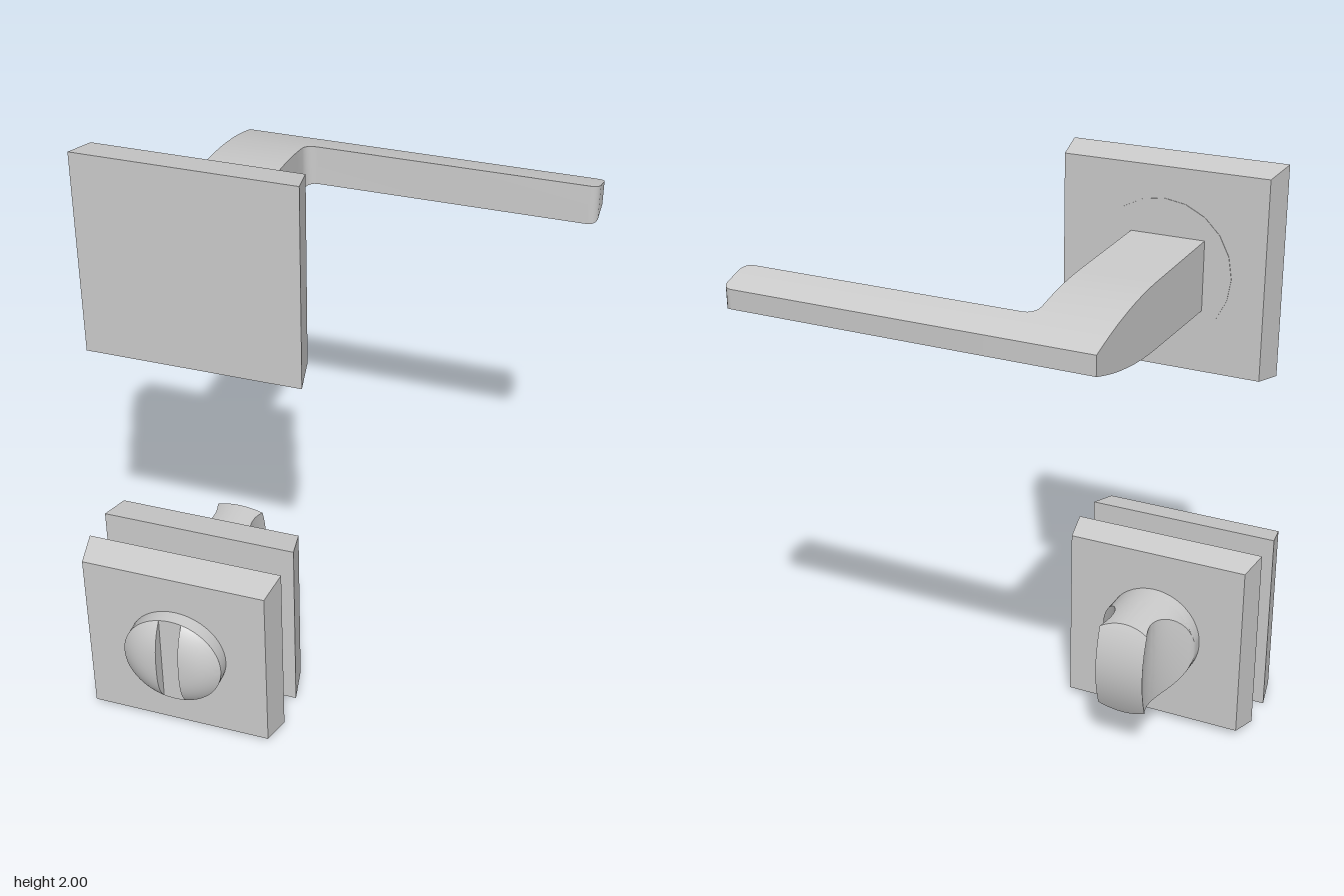
import * as THREE from 'three';
import { toCreasedNormals } from 'three/addons/utils/BufferGeometryUtils.js';

const material = new THREE.MeshStandardMaterial({ color: 0xcccccc });

function part(name, geometry, x = 0, y = 0, z = 0) {
  const mesh = new THREE.Mesh(geometry, material);
  mesh.name = name;
  mesh.position.set(x, y, z);
  return mesh;
}

// Skin a list of cross-sections; a closed one gets an end cap that joins mirrored points
function loft(rows, closed) {
  const n = rows[0].length, index = [];
  const cols = closed ? n : n - 1;
  for (let i = 0; i < rows.length - 1; i++) {
    for (let j = 0; j < cols; j++) {
      const a = i * n + j, b = i * n + (j + 1) % n;
      index.push(a, b, b + n, a, b + n, a + n);
    }
  }
  if (closed) {
    const s = (rows.length - 1) * n;
    for (let k = 0; k < n / 2 - 1; k++) {
      index.push(s + k, s + k + 1, s + n - 2 - k, s + k, s + n - 2 - k, s + n - 1 - k);
    }
  }
  const g = new THREE.BufferGeometry();
  g.setAttribute('position', new THREE.Float32BufferAttribute(rows.flat(2), 3));
  g.setIndex(index);
  return toCreasedNormals(g, 0.5);
}

// Square plate with bevelled sides, wide at zWide and narrower at zNarrow
function plate(name, x, y, w, h, zWide, zNarrow) {
  const inset = 0.04;
  const g = new THREE.BoxGeometry(w, h, Math.abs(zNarrow - zWide));
  const p = g.attributes.position;
  for (let i = 0; i < p.count; i++) {
    if (p.getZ(i) * (zNarrow - zWide) > 0) {
      p.setX(i, p.getX(i) * (1 - inset / w));
      p.setY(i, p.getY(i) * (1 - inset / h));
    }
  }
  g.computeVertexNormals();
  return part(name, g, x, y, (zWide + zNarrow) / 2);
}

function disc(name, r, x, y, z0, z1, sides) {
  const g = new THREE.CylinderGeometry(r, r, z1 - z0, sides).rotateX(Math.PI / 2);
  return part(name, g, x, y, (z0 + z1) / 2);
}

// L-shaped lever: box sections along z, thinning towards the back
function leverGeometry() {
  const stations = [];
  for (let z = 0.2; z > -0.44; z -= 0.05) stations.push([z, -0.26]);
  const arc = (cx, cz, r, from, to) => {
    for (let i = 0; i <= 5; i++) {
      const a = THREE.MathUtils.lerp(from, to, i / 5);
      stations.push([cz + r * Math.sin(a), cx + r * Math.cos(a)]);
    }
  };
  arc(-0.22, -0.46, 0.04, Math.PI, Math.PI * 1.5); // inner fillet
  arc(0.69, -0.53, 0.03, Math.PI / 2, 0);          // tip corners
  stations.push([-0.565, 0.72]);
  arc(0.69, -0.598, 0.03, 0, -Math.PI / 2);
  return loft(stations.map(([z, x]) => {
    const h = 0.114 - 0.02 * (0.18 - z) - 0.36 * Math.max(0, -0.2 - z) ** 2;
    return [[-0.505, h, z], [x, h, z], [x, -h, z], [-0.505, -h, z]];
  }), true);
}

// Round knob with a hollowed grip on both sides and a bowed end
function turnKnobGeometry(r) {
  const z0 = 0.2, z1 = -0.11, rows = [];
  for (let i = 0; i <= 32; i++) {
    const z = THREE.MathUtils.lerp(z0, z1, i / 32);
    const s = Math.max(0, 0.145 - z);
    const a = Math.acos(Math.min(1, (0.07 + 0.1 * ((s - 0.185) / 0.185) ** 2) / r));
    const half = [];
    for (let k = 0; k <= 12; k++) {
      const t = THREE.MathUtils.lerp(Math.PI / 2, a, k / 12);
      half.push([r * Math.cos(t), r * Math.sin(t)]);
    }
    for (let k = 1; k < 16; k++) half.push([r * Math.cos(a), r * Math.sin(a) * (1 - k / 8)]);
    for (let k = 12; k >= 0; k--) half.push([half[k][0], -half[k][1]]);
    const ring = [...half, ...half.slice().reverse().map(([x, y]) => [-x, y])];
    rows.push(ring.map(([x, y]) => {
      const end = z1 + 0.04 * (y / r) ** 2;
      return [x, y, z0 - (z0 - z) * (z0 - end) / (z0 - z1)];
    }));
  }
  return loft(rows, true);
}

// Half of a domed cap, with a flat wall facing the slot
function halfDomeGeometry(r, gap, height) {
  const rows = [];
  for (let i = -1; i <= 14; i++) {
    const x = gap + (r - gap) * Math.sin(Math.max(0, i) / 14 * Math.PI / 2);
    const chord = Math.sqrt(Math.max(0, r * r - x * x));
    const row = [];
    for (let k = 0; k <= 24; k++) {
      const y = chord * Math.cos(k / 24 * Math.PI);
      const rho = Math.min(1, Math.hypot(x, y) / r);
      row.push([x, y, i < 0 ? 0 : height * (1 - rho ** 3)]);
    }
    rows.push(row);
  }
  return loft(rows, false);
}

export function createModel() {
  const model = new THREE.Group();
  model.name = 'doorHandleSet';

  // Lever handle on its rose
  const handle = new THREE.Group();
  handle.name = 'leverHandle';
  handle.add(
    plate('handleRose', -0.367, 1.655, 0.715, 0.69, 0.3, 0.185),
    disc('handleCollar', 0.23, -0.367, 1.65, 0.183, 0.2, 20),
    part('lever', leverGeometry(), 0, 1.648, 0)
  );

  // Privacy lock: slotted release in front, turn knob behind
  const lock = new THREE.Group();
  lock.name = 'privacyLock';
  const cx = -0.382, bx = -0.378, cy = 0.33, r = 0.171;
  lock.add(
    plate('frontRose', cx, 0.328, 0.67, 0.656, 0.42, 0.53),
    plate('rearRose', cx, 0.328, 0.67, 0.656, 0.297, 0.187),
    disc('releaseBase', r, bx, cy, 0.51, 0.577, 48),
    part('turnKnob', turnKnobGeometry(r), bx, cy, 0)
  );
  for (const turn of [0, Math.PI]) {
    const half = part('releaseHalf', halfDomeGeometry(r, 0.039, 0.047), bx, cy, 0.577);
    half.rotation.z = turn;
    lock.add(half);
  }

  model.add(handle, lock);
  return model;
}
